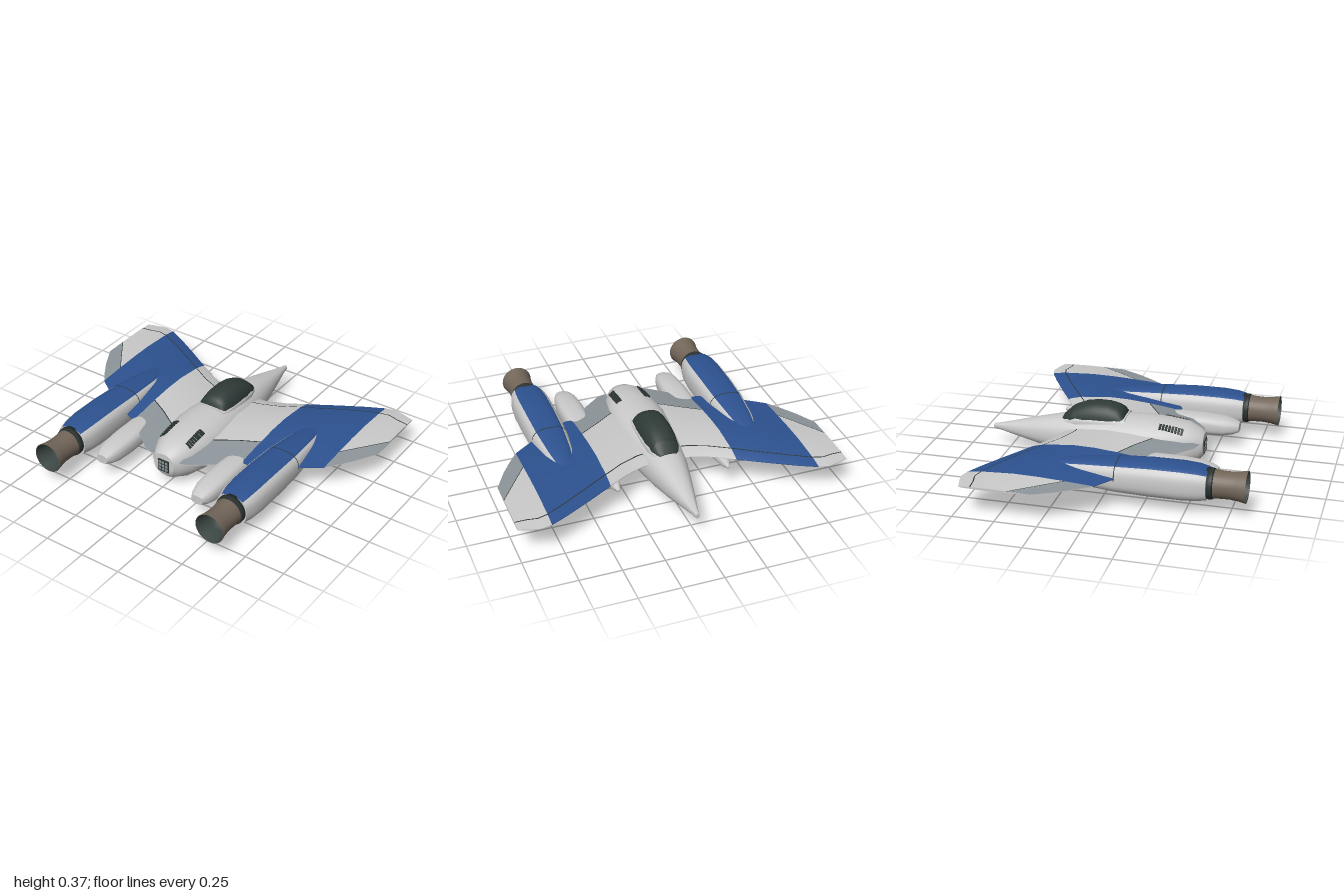
import * as THREE from 'three';
import { toCreasedNormals } from 'three/addons/utils/BufferGeometryUtils.js';

const mat = (name, color, side = THREE.FrontSide) => {
  const m = new THREE.MeshStandardMaterial({ color, side });
  m.name = name;
  return m;
};

// Skins a series of closed rings with end caps; pick(i, j) gives a material index per face
function skin(rings, mats, pick = () => 0, flip = false, crease = 0.75) {
  const n = rings[0].length, last = rings.length - 1;
  const pos = rings.flat();
  const faces = mats.map(() => []);
  const add = (m, a, b, c) => faces[m].push(a, ...(flip ? [c, b] : [b, c]));
  for (let i = 0; i < last; i++) {
    for (let j = 0; j < n; j++) {
      const k = (j + 1) % n, a = i * n + j, b = i * n + k;
      const m = pick(i, j);
      add(m, a, b, b + n);
      add(m, a, b + n, a + n);
    }
  }
  for (const i of [0, last]) {
    const c = pos.length;
    pos.push(rings[i].reduce((s, p) => s.add(p), new THREE.Vector3()).divideScalar(n));
    for (let j = 0; j < n; j++) {
      const a = i * n + j, b = i * n + (j + 1) % n;
      if (i) add(0, c, a, b); else add(0, c, b, a);
    }
  }
  const g = new THREE.BufferGeometry().setFromPoints(pos);
  g.setIndex(faces.flat());
  let start = 0;
  faces.forEach((f, m) => { g.addGroup(start, f.length, m); start += f.length; });
  return new THREE.Mesh(toCreasedNormals(g, crease), mats);
}

// Rounded body along z; each section is [z, halfWidth, top, bottom, widestY]
const SEG = 36;
function body(sections, cx, power, mats, pick) {
  const rings = sections.map(([z, hw, top, bot, cy = (top + bot) / 2]) =>
    Array.from({ length: SEG }, (_, j) => {
      const t = (j / SEG) * Math.PI * 2, c = Math.cos(t), s = Math.sin(t);
      const r = v => Math.sign(v) * Math.abs(v) ** (2 / power);
      return new THREE.Vector3(cx + hw * r(c), cy + r(s) * (s > 0 ? top - cy : cy - bot), z);
    }));
  return skin(rings, mats, pick);
}

const HULL = [
  [-0.85, 0.012, 0.15, 0.12, 0.135], [-0.8, 0.022, 0.16, 0.112, 0.135],
  [-0.7, 0.048, 0.185, 0.09, 0.135], [-0.55, 0.085, 0.225, 0.06, 0.135],
  [-0.4, 0.118, 0.26, 0.035, 0.138], [-0.2, 0.15, 0.285, 0.014, 0.14],
  [0, 0.174, 0.297, 0.006, 0.14], [0.12, 0.18, 0.3, 0.002, 0.14],
  [0.25, 0.168, 0.295, 0.01, 0.14], [0.38, 0.135, 0.285, 0.028, 0.145],
  [0.46, 0.092, 0.25, 0.062, 0.155], [0.485, 0.07, 0.228, 0.092, 0.16],
];
const HULL_POWER = 2.3;

// Height of the hull's upper surface at x, z
function hullTop(x, z) {
  const i = HULL.findIndex((s, k) => k && s[0] >= z);
  const f = (z - HULL[i - 1][0]) / (HULL[i][0] - HULL[i - 1][0]);
  const [, hw, top, , cy] = HULL[i].map((v, k) => THREE.MathUtils.lerp(HULL[i - 1][k], v, f));
  return cy + (top - cy) * (1 - Math.abs(x / hw) ** HULL_POWER) ** (1 / HULL_POWER);
}

// Wing stations: [x, leading z, flap hinge z, trailing z, half thickness]
const WING = [
  [0.1, -0.36, 0.22, 0.47, 0.046], [0.16, -0.37, 0.19, 0.45, 0.046],
  [0.27, -0.415, 0.115, 0.36, 0.045], [0.39, -0.485, 0.045, 0.25, 0.043],
  [0.43, -0.508, 0.03, 0.25, 0.042], [0.55, -0.58, -0.03, 0.19, 0.038],
  [0.7, -0.665, -0.09, 0.1, 0.031], [0.81, -0.72, -0.15, 0.02, 0.022],
  [0.87, -0.735, -0.235, -0.06, 0.017], [0.93, -0.722, -0.32, -0.15, 0.011],
  [1, -0.7, -0.42, -0.28, 0.005],
];

function wing(side, mats) {
  const rings = WING.map(([x, le, hinge, te, half]) => {
    const chord = te - le, line = le + Math.min(0.08, chord * 0.15), gap = hinge - line;
    const zs = [le, le + 0.02, line, line + 0.007, line + gap * 0.4, line + gap * 0.7,
      hinge, hinge + 0.007, (hinge + te) / 2, te];
    const at = (z, s) => {
      const u = (z - le) / chord;
      return new THREE.Vector3(side * x, 0.193 + s * (0.002 + half * Math.sin(Math.PI * u ** 0.75)), z);
    };
    return [...zs.map(z => at(z, 1)), ...zs.slice().reverse().map(z => at(z, -1))];
  });
  // 0 white, 1 blue, 2 grey flap, 3 dark panel line
  const pick = (i, j) => {
    const x = (WING[i][0] + WING[i + 1][0]) / 2, blue = x > 0.39 && x < 0.81;
    const top = j < 9, k = top ? j : 18 - j;
    if (top && (k === 2 || (k === 6 && !blue))) return 3;
    if (blue) return 1;
    return k >= 6 && k <= 8 ? 2 : 0;
  };
  return skin(rings, mats, pick, side < 0, 0.6);
}

export function createModel() {
  const white = mat('white paint', 0xc9c9c9);
  const blue = mat('blue paint', 0x2d5290);
  const grey = mat('grey panel', 0x8d959a);
  const dark = mat('dark trim', 0x2c3533);
  const glass = mat('canopy glass', 0x2f3b38);
  const brown = mat('nozzle metal', 0x73665a);
  const inner = mat('nozzle interior', 0x3c4744, THREE.DoubleSide);

  const model = new THREE.Group();
  model.name = 'aircraft';
  const put = (name, mesh, parent = model) => { mesh.name = name; parent.add(mesh); return mesh; };
  const box = (name, m, w, h, d, x, y, z) => {
    const b = put(name, new THREE.Mesh(new THREE.BoxGeometry(w, h, d), m));
    b.position.set(x, y, z);
    return b;
  };
  // Turned part along z, from [radius, z] points
  const turned = (pts, m, x, y) => {
    const g = new THREE.LatheGeometry(pts.map(p => new THREE.Vector2(...p)), 32).rotateX(Math.PI / 2);
    const mesh = new THREE.Mesh(g, m);
    mesh.position.set(x, y, 0);
    return mesh;
  };

  // Fuselage with grey belly panels
  put('fuselage', body(HULL, 0, HULL_POWER, [white, grey],
    (i, j) => ((i === 3 || i === 8) && j >= 23 && j <= 30 ? 1 : 0)));

  // Cockpit: glass, sill and frame
  const canopy = [
    [-0.39, 0.05, 0.265], [-0.37, 0.068, 0.285], [-0.335, 0.085, 0.318], [-0.322, 0.087, 0.327],
    [-0.25, 0.097, 0.358], [-0.18, 0.1, 0.371], [-0.1, 0.1, 0.37], [-0.05, 0.098, 0.358],
    [-0.02, 0.097, 0.342], [0, 0.095, 0.31],
  ].map(s => [...s, 0.2, 0.25]);
  put('canopy', body(canopy, 0, 2.3, [glass, dark], i => (i === 2 ? 1 : 0)));
  put('canopySill', body([
    [-0.4, 0.05, 0.25], [-0.36, 0.08, 0.265], [-0.3, 0.097, 0.285], [-0.2, 0.106, 0.293],
    [-0.05, 0.106, 0.299], [0.01, 0.1, 0.301],
  ].map(s => [...s, 0.2, 0.24]), 0, 4, [white]));

  // Tail grille
  box('tailGrilleFrame', dark, 0.076, 0.08, 0.008, 0, 0.15, 0.487);
  for (let r = -1; r <= 1; r++) {
    for (let c = -1; c <= 1; c++) {
      box('tailGrilleCell', grey, 0.017, 0.016, 0.004, c * 0.023, 0.15 + r * 0.023, 0.491);
    }
  }

  for (const s of [1, -1]) {
    const label = s > 0 ? 'left' : 'right';
    put(label + 'Wing', wing(s, [white, blue, grey, dark]));

    // Louvred vents on the rear deck
    for (let k = 0; k < 8; k++) {
      const z = 0.23 + k * 0.019, x = s * 0.093;
      const slat = box(label + 'VentSlat', dark, 0.042, 0.009, 0.013, x, hullTop(x, z) + 0.001, z);
      slat.rotation.z = Math.atan2(hullTop(x + 0.02, z) - hullTop(x - 0.02, z), 0.04);
    }

    // Engine: blue-topped nacelle, collar, nozzle and exhaust cone
    const engine = put(label + 'Engine', new THREE.Group());
    const ex = s * 0.575, ey = 0.18;
    put('nacelle', body([
      [-0.38, 0.03, 0.195, 0.14], [-0.27, 0.055, 0.226, 0.118], [-0.1, 0.09, 0.252, 0.098],
      [0.1, 0.112, 0.271, 0.084], [0.106, 0.1125, 0.2715, 0.084], [0.3, 0.118, 0.282, 0.079],
      [0.48, 0.118, 0.283, 0.079], [0.57, 0.11, 0.277, 0.083], [0.625, 0.096, 0.266, 0.092],
    ], ex, 2.8, [white, blue, dark],
    (i, j) => (i === 3 && j < 18 ? 2 : j >= 5 && j <= 12 ? 1 : 0)), engine);
    put('collar', turned([[0, 0.66], [0.086, 0.66], [0.09, 0.65], [0.091, 0.615], [0, 0.615]].reverse(),
      dark, ex, ey), engine);
    put('nozzle', turned([[0.084, 0.655], [0.08, 0.7], [0.079, 0.75], [0.084, 0.8], [0.093, 0.845], [0.09, 0.845]],
      brown, ex, ey), engine);
    put('nozzleInterior', turned([[0.09, 0.845], [0.08, 0.8], [0.074, 0.75], [0.076, 0.67], [0, 0.67]],
      inner, ex, ey), engine);
    put('exhaustCone', turned([[0.035, 0.67], [0.03, 0.71], [0.018, 0.75], [0, 0.765]], grey, ex, ey), engine);

    // Long pod slung beneath the wing
    put(label + 'Pod', body([
      [-0.49, 0.008, 0.158, 0.142], [-0.44, 0.025, 0.175, 0.125], [-0.3, 0.05, 0.19, 0.11],
      [0, 0.068, 0.195, 0.092], [0.2, 0.074, 0.2, 0.086], [0.26, 0.076, 0.21, 0.085],
      [0.42, 0.078, 0.208, 0.084], [0.54, 0.07, 0.2, 0.088], [0.6, 0.055, 0.185, 0.1],
      [0.635, 0.038, 0.17, 0.115],
    ], s * 0.342, 2.8, [white]));
  }
  return model;
}
